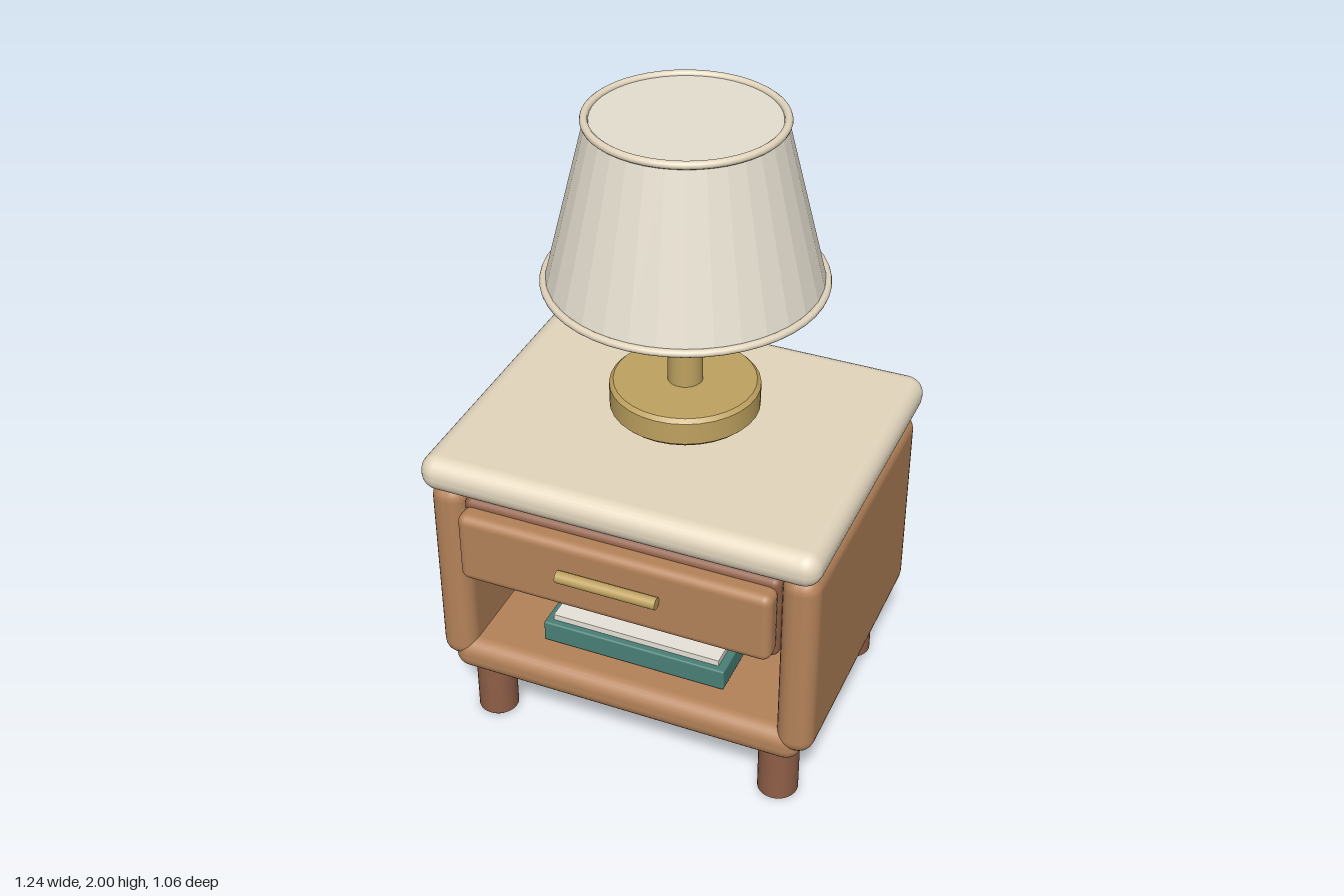
import * as THREE from 'three';
import { RoundedBoxGeometry } from 'three/addons/geometries/RoundedBoxGeometry.js';

const mat = (color, flatShading = false) => new THREE.MeshStandardMaterial({ color, flatShading });

export function createModel() {
  const model = new THREE.Group();
  model.name = 'nightstandWithLamp';

  const wood = mat(0xb5835a);
  const darkWood = mat(0x8f5f47);
  const cream = mat(0xe3d6be);
  const brass = mat(0xbfa260);
  const shadeCloth = mat(0xe6dfd0, true);
  const teal = mat(0x4a8077);
  const paper = mat(0xe8e4da);

  const add = (name, geometry, material, x = 0, y = 0, z = 0, parent = model) => {
    const mesh = new THREE.Mesh(geometry, material);
    mesh.name = name;
    mesh.position.set(x, y, z);
    parent.add(mesh);
    return mesh;
  };

  // Box given by its limits on each axis, with rounded edges when r > 0
  const box = (name, material, [x0, x1], [y0, y1], [z0, z1], r = 0) => {
    const size = [x1 - x0, y1 - y0, z1 - z0];
    const geometry = r ? new RoundedBoxGeometry(...size, 3, r) : new THREE.BoxGeometry(...size);
    return add(name, geometry, material, (x0 + x1) / 2, (y0 + y1) / 2, (z0 + z1) / 2);
  };

  // Upright cylinder with small bevels, standing on its local y = 0
  const bevelled = (radius, height, bevel) => {
    const p = [
      [0, 0], [radius - bevel, 0], [radius - bevel, 0], [radius, bevel], [radius, bevel],
      [radius, height - bevel], [radius, height - bevel], [radius - bevel, height],
      [radius - bevel, height], [0, height],
    ];
    return new THREE.LatheGeometry(p.map(([x, y]) => new THREE.Vector2(x, y)), 32);
  };

  // Cabinet
  box('tableTop', cream, [-0.62, 0.62], [0.918, 1.033], [-0.532, 0.484], 0.054);
  box('bottomPanel', wood, [-0.572, 0.572], [0.217, 0.332], [-0.487, 0.445], 0.05);
  box('rightSidePanel', wood, [-0.61, -0.495], [0.26, 0.92], [-0.487, 0.445], 0.05);
  box('leftSidePanel', wood, [0.495, 0.61], [0.26, 0.92], [-0.487, 0.445], 0.05);
  box('backPanel', darkWood, [-0.51, 0.51], [0.28, 0.89], [-0.465, -0.415]);

  // Drawer
  box('drawerBox', darkWood, [-0.497, 0.497], [0.61, 0.895], [-0.38, 0.435], 0.025);
  box('drawerFront', wood, [-0.492, 0.492], [0.637, 0.873], [0.415, 0.494], 0.028);
  const handle = add('drawerHandle', new THREE.CylinderGeometry(0.019, 0.019, 0.314, 16), brass, 0, 0.768, 0.512);
  handle.rotation.z = Math.PI / 2;

  // Legs
  for (const x of [-0.479, 0.479]) {
    for (const z of [-0.367, 0.33]) add('leg', bevelled(0.063, 0.23, 0.01), darkWood, x, 0, z);
  }

  // Book on the shelf
  box('bookCover', teal, [-0.298, 0.298], [0.34, 0.411], [-0.08, 0.34], 0.006);
  box('bookPages', paper, [-0.273, 0.273], [0.4, 0.431], [-0.055, 0.318]);

  // Table lamp
  const lamp = new THREE.Group();
  lamp.name = 'lamp';
  lamp.position.z = -0.072;
  model.add(lamp);
  add('lampBase', bevelled(0.227, 0.094, 0.012), brass, 0, 1.045, 0, lamp);
  add('lampPole', new THREE.CylinderGeometry(0.053, 0.053, 0.37, 24), brass, 0, 1.315, 0, lamp);
  add('lampShade', new THREE.CylinderGeometry(0.28, 0.405, 0.5, 32), shadeCloth, 0, 1.738, 0, lamp);
  for (const [name, radius, y] of [['shadeTopRim', 0.28, 1.988], ['shadeBottomRim', 0.408, 1.488]]) {
    add(name, new THREE.TorusGeometry(radius, 0.012, 10, 48), cream, 0, y, 0, lamp).rotation.x = Math.PI / 2;
  }

  return model;
}
